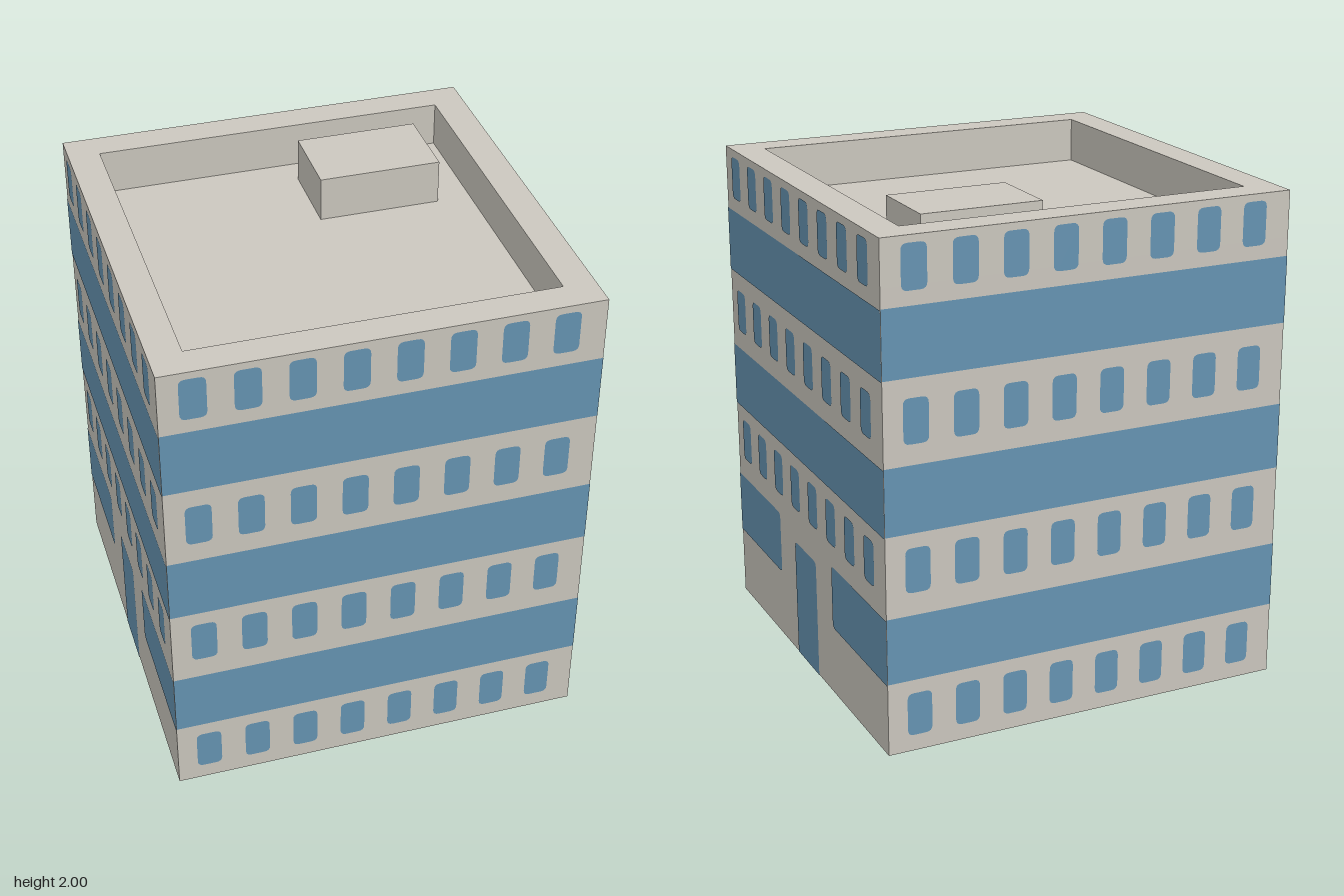
import * as THREE from 'three';

const HALF = 0.833, INNER = 0.707, ROOF_Y = 1.82, TOP_Y = 2;

// Rectangle outline with its own corner radius at bottom-left, bottom-right, top-right, top-left
function panelShape(x0, x1, y0, y1, [bl, br, tr, tl]) {
  const s = new THREE.Shape();
  s.moveTo(x0 + bl, y0);
  s.lineTo(x1 - br, y0);
  if (br) s.quadraticCurveTo(x1, y0, x1, y0 + br);
  s.lineTo(x1, y1 - tr);
  if (tr) s.quadraticCurveTo(x1, y1, x1 - tr, y1);
  s.lineTo(x0 + tl, y1);
  if (tl) s.quadraticCurveTo(x0, y1, x0, y1 - tl);
  s.lineTo(x0, y0 + bl);
  if (bl) s.quadraticCurveTo(x0, y0, x0 + bl, y0);
  return s;
}

export function createModel() {
  const wall = new THREE.MeshStandardMaterial({ color: 0xccc8bf });
  wall.name = 'wallStone';
  const glass = new THREE.MeshStandardMaterial({ color: 0x6694b3 });
  glass.name = 'windowBlue';

  const model = new THREE.Group();
  model.name = 'officeBuilding';
  const add = (parent, name, geometry, material) => {
    const mesh = new THREE.Mesh(geometry, material);
    mesh.name = name;
    parent.add(mesh);
    return mesh;
  };

  // Main block up to the roof deck
  add(model, 'buildingBlock', new THREE.BoxGeometry(HALF * 2, ROOF_Y, HALF * 2), wall)
    .position.y = ROOF_Y / 2;

  // Parapet ring around the roof
  const square = (h) => [[-h, -h], [h, -h], [h, h], [-h, h]].map(([x, y]) => new THREE.Vector2(x, y));
  const ring = new THREE.Shape(square(HALF));
  ring.holes.push(new THREE.Path(square(INNER).reverse()));
  const parapet = new THREE.ExtrudeGeometry(ring, { depth: TOP_Y - ROOF_Y, bevelEnabled: false });
  parapet.rotateX(-Math.PI / 2);
  add(model, 'parapet', parapet, wall).position.y = ROOF_Y;

  // Rooftop plant box
  add(model, 'roofBox', new THREE.BoxGeometry(0.49, TOP_Y - ROOF_Y, 0.324), wall)
    .position.set(0.325, (ROOF_Y + TOP_Y) / 2, -0.421);

  // Glazing of one wall, drawn in its own plane
  const r = 0.025;
  function facade(name, angle, hasDoor) {
    const group = new THREE.Group();
    group.name = name;
    group.rotation.y = angle;
    model.add(group);
    const plate = (part, ...args) =>
      add(group, part, new THREE.ShapeGeometry(panelShape(...args), 4), glass)
        .position.z = HALF + 0.002;
    const dx = hasDoor ? -0.005 : 0, dy = hasDoor ? -0.004 : 0;

    // Rows of small windows
    const rows = [[1.80, 1.972], [1.23, 1.405], [0.65, 0.828]];
    if (!hasDoor) rows.push([0.066, 0.24]);
    for (const [y0, y1] of rows) {
      for (let i = 0; i < 8; i++) {
        const x = -0.755 + i * 0.198 + dx;
        plate('smallWindow', x, x + 0.1, y0 + dy, y1 + dy / 2, [r, r, r, r]);
      }
    }

    // Long window bands
    const bands = [[1.48, 1.745], [0.885, 1.15]];
    if (!hasDoor) bands.push([0.295, 0.56]);
    for (const [y0, y1] of bands) {
      plate('windowBand', -HALF, HALF, y0 + dy, y1 + dy, [0, 0, 0, 0]);
    }

    // Ground floor entrance between two shorter bands
    if (hasDoor) {
      plate('shopWindow', -HALF, -0.315, 0.29, 0.555, [0, r, r, 0]);
      plate('shopWindow', 0.275, HALF, 0.29, 0.555, [r, 0, 0, r]);
      plate('door', -0.14, 0.1, 0, 0.497, [0, 0, r, r]);
    }
  }
  facade('frontFacade', 0, false);
  facade('leftFacade', Math.PI / 2, true);
  facade('backFacade', Math.PI, false);
  facade('rightFacade', -Math.PI / 2, true);

  return model;
}
